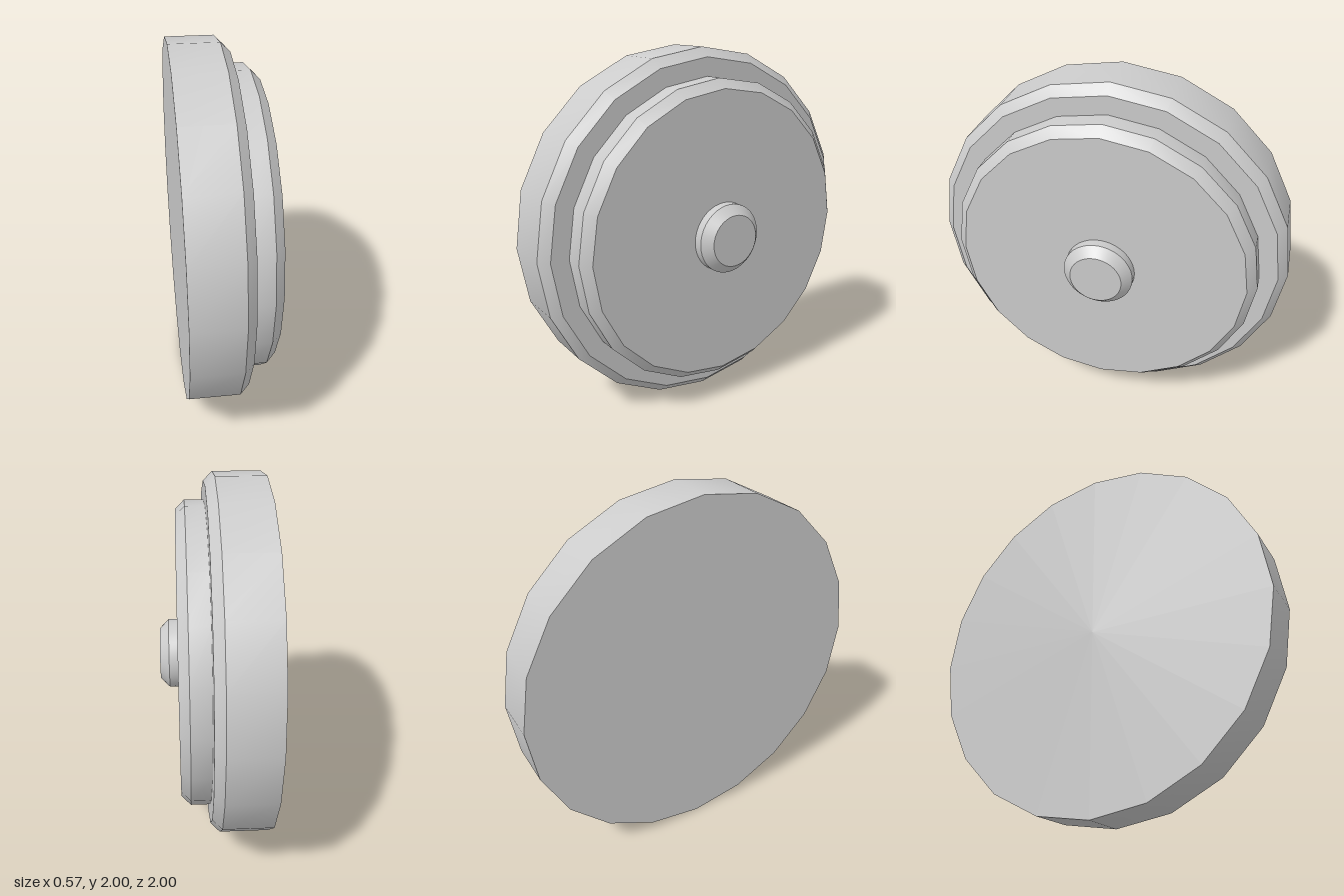
import * as THREE from 'three';
import { toCreasedNormals } from 'three/addons/utils/BufferGeometryUtils.js';

const material = new THREE.MeshStandardMaterial({ color: 0xcccccc });

// Chamfered disc turned about the x axis; the profile is [radius, x] from back to front.
function turnedPart(name, profile, sides) {
  const points = profile.map(([r, x]) => new THREE.Vector2(r, x));
  const lathe = new THREE.LatheGeometry(points, sides);
  const geometry = toCreasedNormals(lathe, THREE.MathUtils.degToRad(30));
  geometry.rotateZ(-Math.PI / 2); // lathe axis +y becomes +x
  const mesh = new THREE.Mesh(geometry, material);
  mesh.name = name;
  return mesh;
}

export function createModel() {
  const model = new THREE.Group();
  model.name = 'steppedWheel';

  // Wide base disc, closed at the back, with a bevelled front rim
  const rim = turnedPart('baseDisc',
    [[0, -0.285], [1, -0.285], [1, -0.02], [0.95, 0.03], [0, 0.03]], 20);

  // Smaller raised disc
  const face = turnedPart('raisedDisc',
    [[0.85, 0.03], [0.85, 0.135], [0.8, 0.185], [0, 0.185]], 20);

  // Round hub cap with a bevelled end
  const hub = turnedPart('hubCap',
    [[0.193, 0.185], [0.193, 0.235], [0.143, 0.285], [0, 0.285]], 40);

  model.add(rim, face, hub);
  for (const part of model.children) part.position.y = 1;
  return model;
}
